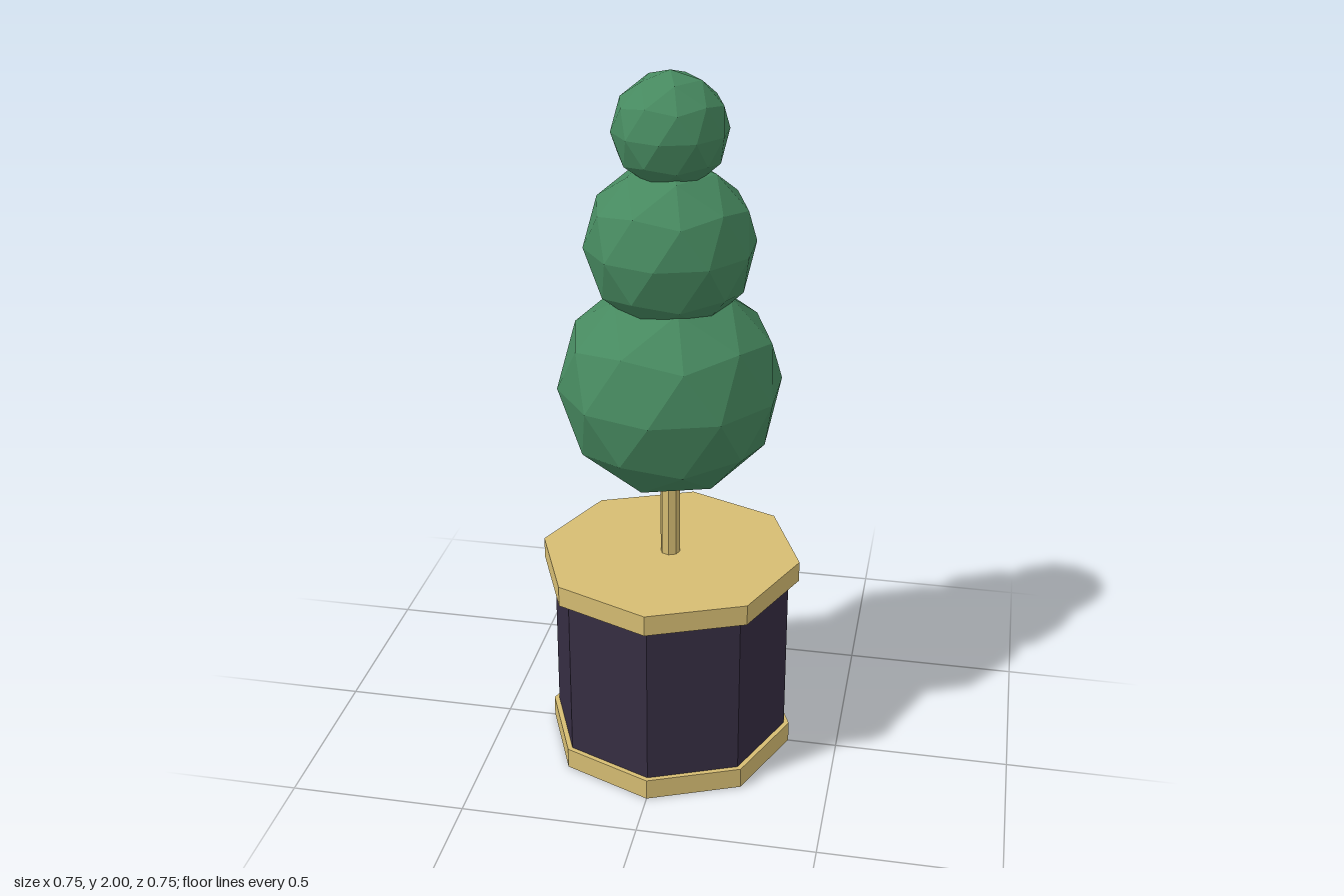
import * as THREE from 'three';

const mat = (name, color) => new THREE.MeshStandardMaterial({ name, color, flatShading: true });

export function createModel() {
  const model = new THREE.Group();
  model.name = 'topiaryTree';
  const gold = mat('gold', 0xd6bd73);
  const plum = mat('dark plum', 0x362d42);
  const green = mat('leaf green', 0x478a60);

  // Upright prism between two heights
  function prism(name, radius, y0, y1, material, sides = 8) {
    const geometry = new THREE.CylinderGeometry(radius, radius, y1 - y0, sides);
    geometry.translate(0, (y0 + y1) / 2, 0);
    const mesh = new THREE.Mesh(geometry, material);
    mesh.name = name;
    model.add(mesh);
  }

  // Octagonal planter with gold slabs, and the trunk
  prism('planterBody', 0.343, 0, 0.57, plum);
  prism('planterBase', 0.358, 0.001, 0.062, gold);
  prism('planterTop', 0.373, 0.55, 0.61, gold);
  prism('trunk', 0.028, 0.6, 0.95, gold);

  // Faceted foliage balls, each turned so one corner points straight up
  const tilt = -Math.atan(2 / (1 + Math.sqrt(5)));
  const balls = [
    ['lowerFoliage', 0.311, 1.134],
    ['middleFoliage', 0.233, 1.535],
    ['upperFoliage', 0.156, 1.844],
  ];
  for (const [name, radius, y] of balls) {
    const geometry = new THREE.IcosahedronGeometry(radius, 1);
    geometry.rotateZ(-tilt * -1);
    const mesh = new THREE.Mesh(geometry, green);
    mesh.name = name;
    mesh.position.y = y;
    model.add(mesh);
  }
  return model;
}
